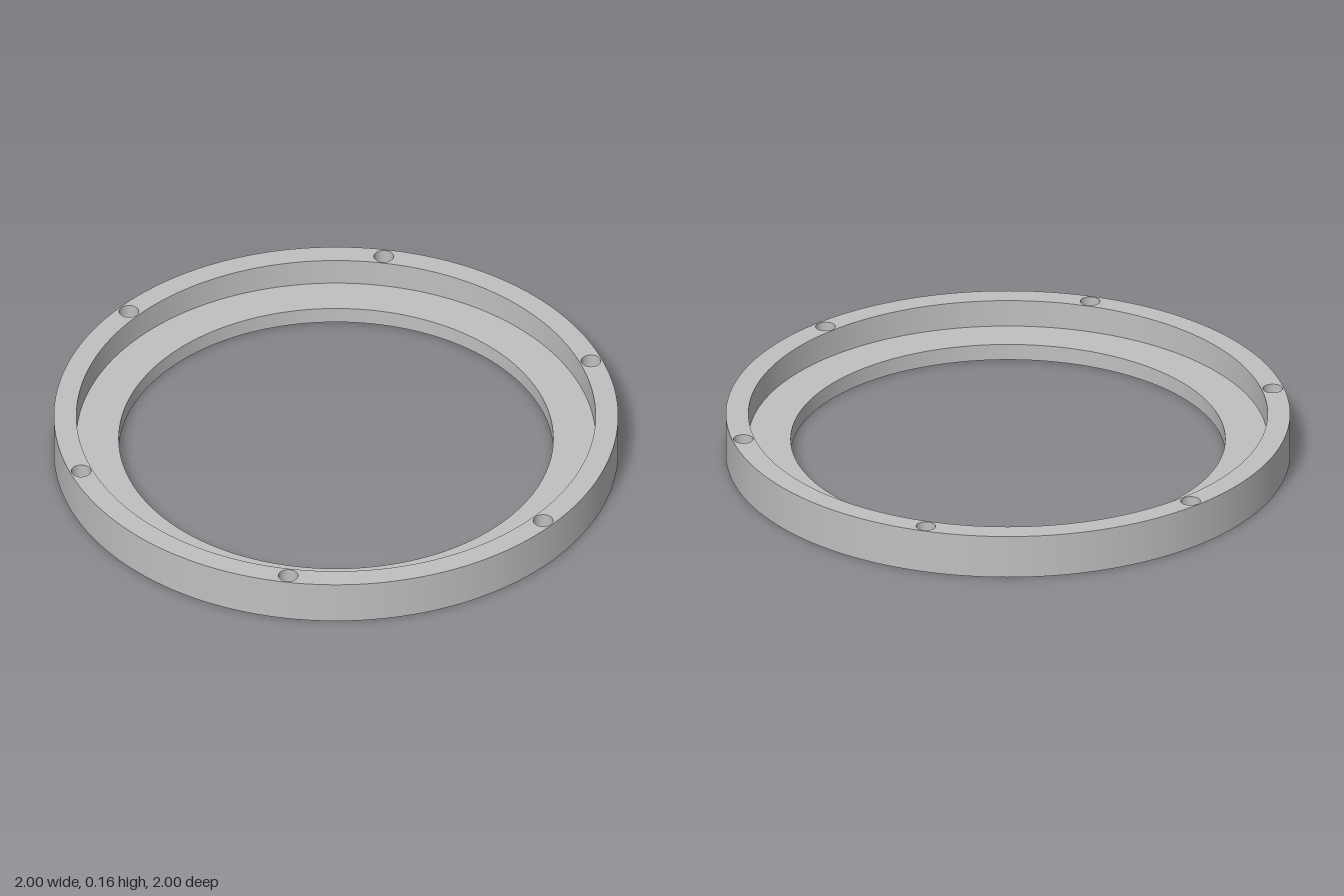
import * as THREE from 'three';

const SEGMENTS = 144;
const OUTER = 1, STEP = 0.92, INNER = 0.77;
const HEIGHT = 0.16, LEDGE = 0.06;
const HOLE_RADIUS = 0.035, HOLE_CIRCLE = 0.96, HOLE_COUNT = 6, HOLE_SEGMENTS = 32;

function circle(radius, segments, cx = 0, cy = 0) {
  return Array.from({ length: segments }, (_, i) => {
    const a = (i / segments) * Math.PI * 2;
    return new THREE.Vector2(cx + radius * Math.cos(a), cy + radius * Math.sin(a));
  });
}

// Bolt holes sit at the front and back and every 60 degrees between
const holeCentres = circle(HOLE_CIRCLE, HOLE_COUNT).map(p => new THREE.Vector2(p.y, p.x));

// Flat ring pierced by the bolt holes
function piercedRing(innerRadius) {
  const shape = new THREE.Shape(circle(OUTER, SEGMENTS));
  shape.holes.push(new THREE.Path(circle(innerRadius, SEGMENTS)));
  for (const c of holeCentres) {
    shape.holes.push(new THREE.Path(circle(HOLE_RADIUS, HOLE_SEGMENTS, c.x, c.y)));
  }
  return new THREE.ShapeGeometry(shape);
}

// Surface swept from one profile point to the next; upward faces outward
function band(r0, y0, r1, y1, segments = SEGMENTS) {
  return new THREE.LatheGeometry([new THREE.Vector2(r0, y0), new THREE.Vector2(r1, y1)], segments);
}

export function createModel() {
  const group = new THREE.Group();
  group.name = 'steppedFlangeRing';
  const metal = new THREE.MeshStandardMaterial({ color: 0xc0c0c0 });
  metal.name = 'light grey';

  function add(name, geometry) {
    const mesh = new THREE.Mesh(geometry, metal);
    mesh.name = name;
    group.add(mesh);
    return mesh;
  }

  // Flat faces
  add('topRim', piercedRing(STEP).rotateX(-Math.PI / 2).translate(0, HEIGHT, 0));
  add('bottomFace', piercedRing(INNER).rotateX(Math.PI / 2));
  add('ledge', band(STEP, LEDGE, INNER, LEDGE));

  // Round walls
  add('outerWall', band(OUTER, 0, OUTER, HEIGHT));
  add('recessWall', band(STEP, HEIGHT, STEP, LEDGE));
  add('boreWall', band(INNER, LEDGE, INNER, 0));

  // Through-hole walls
  const holeWall = band(HOLE_RADIUS, HEIGHT, HOLE_RADIUS, 0, HOLE_SEGMENTS);
  holeCentres.forEach((c, i) => {
    add('boltHole' + (i + 1), holeWall).position.set(c.x, 0, c.y);
  });

  return group;
}
